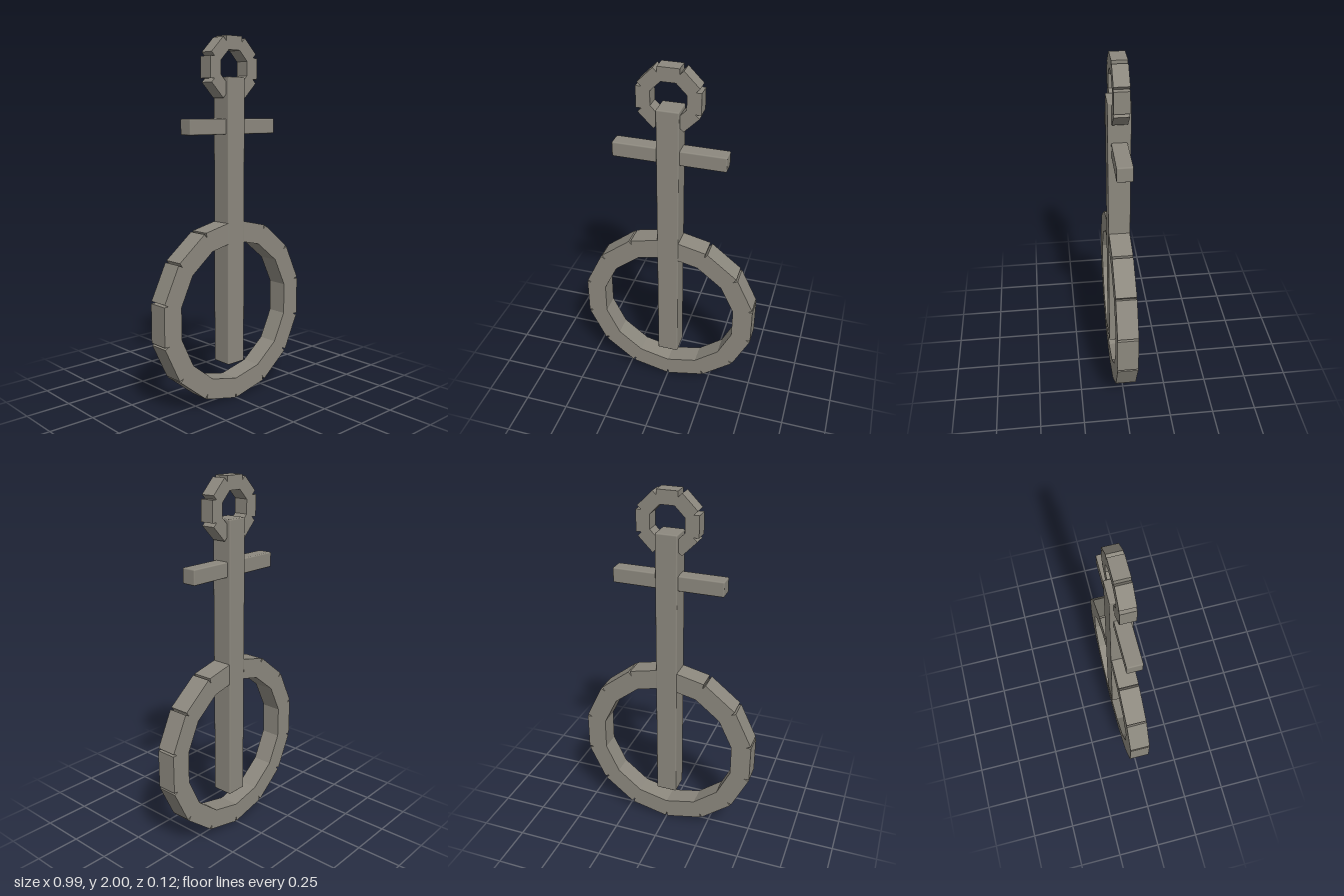
import * as THREE from 'three';
import { RoundedBoxGeometry } from 'three/addons/geometries/RoundedBoxGeometry.js';

export function createModel() {
  const model = new THREE.Group();
  const metal = new THREE.MeshStandardMaterial({ color: 0x8c887e });
  metal.name = 'dull metal';

  // Ring of straight blocks, leaving small notches at the outer corners
  function blockRing(name, count, centreY, inner, outer, length, depth) {
    const ring = new THREE.Group();
    ring.name = name;
    ring.position.y = centreY;
    const block = new THREE.BoxGeometry(outer - inner, length, depth);
    for (let i = 0; i < count; i++) {
      const angle = (i / count) * Math.PI * 2;
      const mesh = new THREE.Mesh(block, metal);
      mesh.name = name + 'Block';
      const r = (inner + outer) / 2;
      mesh.position.set(Math.cos(angle) * r, Math.sin(angle) * r, 0);
      mesh.rotation.z = angle;
      ring.add(mesh);
    }
    model.add(ring);
  }

  // Bar with slightly softened edges
  function bar(name, w, h, d, y) {
    const mesh = new THREE.Mesh(new RoundedBoxGeometry(w, h, d, 2, 0.007), metal);
    mesh.name = name;
    mesh.position.y = y;
    model.add(mesh);
  }

  blockRing('largeRing', 14, 0.508, 0.385, 0.497, 0.214, 0.114);
  blockRing('topRing', 8, 1.833, 0.093, 0.167, 0.114, 0.08);
  bar('shaft', 0.12, 1.58, 0.12, 0.995);
  bar('crossbar', 0.61, 0.083, 0.083, 1.524);

  return model;
}
